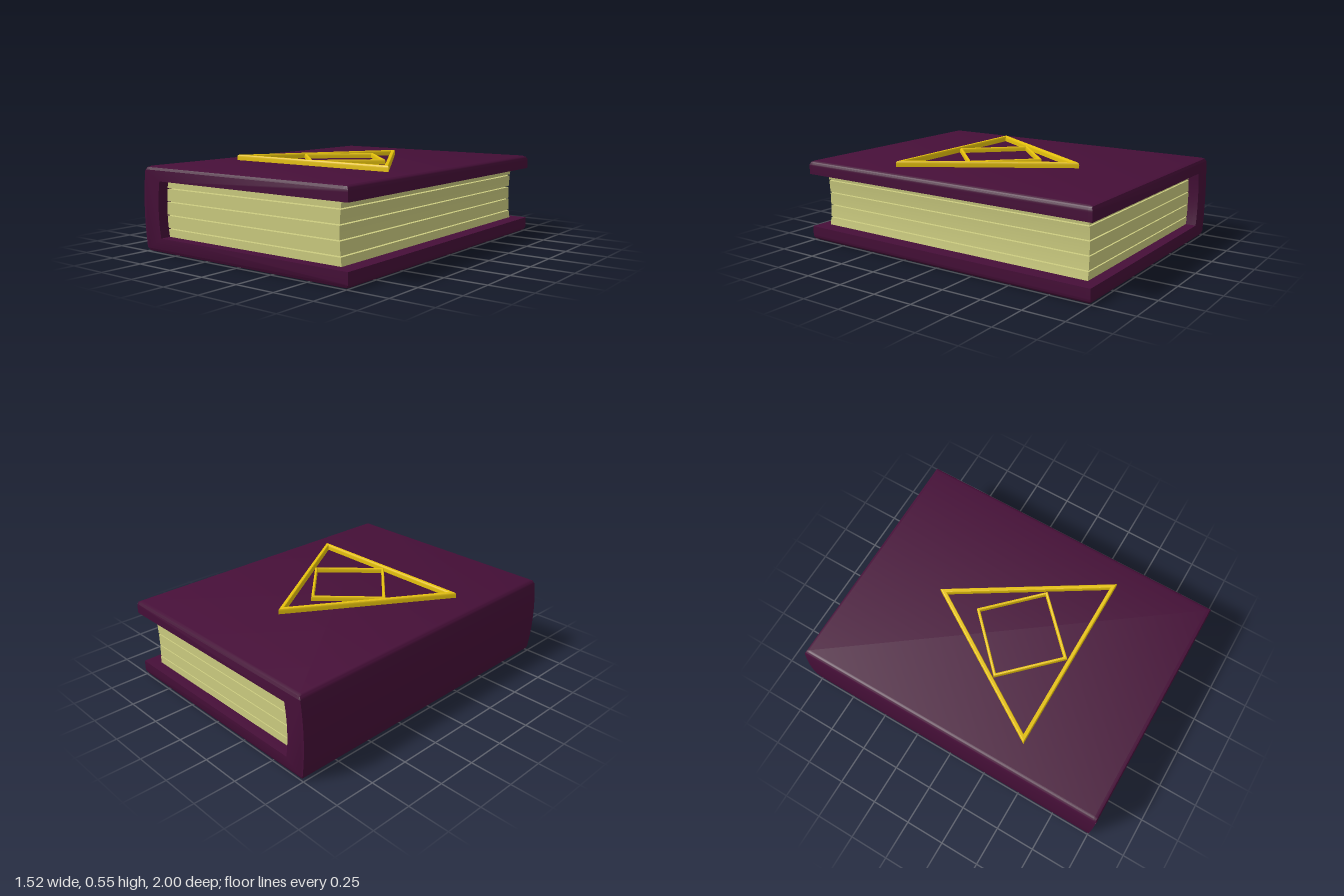
import * as THREE from 'three';
import { toCreasedNormals } from 'three/addons/utils/BufferGeometryUtils.js';

const H = 0.513, MID = H / 2;

function addMesh(parent, name, geometry, material) {
  const mesh = new THREE.Mesh(toCreasedNormals(geometry, 0.6), material);
  mesh.name = name;
  parent.add(mesh);
  return mesh;
}

// C-shaped cover: bowed spine and two boards, softened at the head and tail
function coverGeometry() {
  const s = new THREE.Shape();
  s.moveTo(-0.715, 0);
  s.lineTo(0.73, 0);
  s.quadraticCurveTo(0.76, 0.004, 0.76, 0.035);
  s.lineTo(0.76, 0.09);
  s.lineTo(-0.62, 0.09);
  s.quadraticCurveTo(-0.65, MID, -0.62, H - 0.085);
  s.lineTo(0.76, H - 0.085);
  s.lineTo(0.76, H - 0.035);
  s.quadraticCurveTo(0.76, H - 0.004, 0.73, H);
  s.lineTo(-0.715, H);
  s.quadraticCurveTo(-0.742, H - 0.003, -0.747, H - 0.04);
  s.quadraticCurveTo(-0.777, MID, -0.747, 0.04);
  s.quadraticCurveTo(-0.742, 0.003, -0.715, 0);
  const stations = [-1, -0.993, -0.975, 0.975, 0.993, 1];
  const insets = [0.022, 0.007, 0, 0, 0.007, 0.022];
  const g = new THREE.ExtrudeGeometry(s, { depth: 5, steps: 5, bevelEnabled: false, curveSegments: 8 });
  const p = g.attributes.position;
  for (let i = 0; i < p.count; i++) {
    const k = Math.round(p.getZ(i));
    p.setY(i, THREE.MathUtils.clamp(p.getY(i), insets[k], H - insets[k]));
    p.setZ(i, stations[k]);
  }
  return g;
}

// One bundle of pages, following the bow of the spine and the hollow fore-edge
function pageGeometry(y0, y1) {
  const edge = (x, bow, y) => new THREE.Vector2(x + bow * ((y - MID) / 0.17) ** 2, y);
  const left = [], right = [];
  for (let i = 0; i <= 4; i++) {
    const y = y0 + ((y1 - y0) * i) / 4;
    right.push(edge(0.658, 0.013, y));
    left.unshift(edge(-0.645, 0.015, y));
  }
  const g = new THREE.ExtrudeGeometry(new THREE.Shape([...right, ...left]), { depth: 1.87, bevelEnabled: false });
  return g.translate(0, 0, -0.935);
}

// Bevelled polygon frame lying on the cover; corners are [x, z]
function frameGeometry(corners, centre, inner, bevel, top) {
  const ring = (k) => corners.map(([x, z]) => new THREE.Vector2(
    centre[0] + (x - centre[0]) * k, -(centre[1] + (z - centre[1]) * k)));
  const s = new THREE.Shape(ring(1));
  s.holes.push(new THREE.Path(ring(inner)));
  const base = 0.49, rise = 0.014;
  const g = new THREE.ExtrudeGeometry(s, {
    depth: top - base - rise, bevelThickness: rise, bevelSize: bevel, bevelOffset: -bevel, bevelSegments: 3,
  });
  return g.rotateX(-Math.PI / 2).translate(0, base, 0);
}

export function createModel() {
  const book = new THREE.Group();
  book.name = 'book';
  const purple = new THREE.MeshStandardMaterial({ color: 0x460f38 });
  const paper = new THREE.MeshStandardMaterial({ color: 0xcccc80 });
  const gold = new THREE.MeshStandardMaterial({ color: 0xe6c20c });

  addMesh(book, 'cover', coverGeometry(), purple);

  // Page bundles parted by narrow grooves around a recessed core
  const pages = new THREE.Group();
  pages.name = 'pages';
  book.add(pages);
  const cuts = [0.087, 0.14, 0.22, 0.3, 0.38, 0.431];
  for (let i = 0; i < 5; i++) {
    addMesh(pages, 'pageBundle' + (i + 1), pageGeometry(cuts[i] + 0.0035, cuts[i + 1] - 0.0035), paper);
  }
  const core = addMesh(pages, 'pageCore', new THREE.BoxGeometry(1.2, 0.32, 1.66), paper);
  core.position.set(-0.035, MID + 0.002, 0);

  // Raised ornament on the front board
  const ornament = new THREE.Group();
  ornament.name = 'ornament';
  book.add(ornament);
  addMesh(ornament, 'triangleFrame',
    frameGeometry([[-0.562, 0.423], [0.597, 0.423], [0.016, -0.503]], [0.016, 0.102], 0.918, 0.008, 0.547), gold);
  addMesh(ornament, 'diamondFrame',
    frameGeometry([[-0.303, 0.07], [0.015, 0.393], [0.337, 0.077], [0.02, -0.243]], [0.017, 0.074], 0.92, 0.006, 0.543), gold);
  return book;
}
